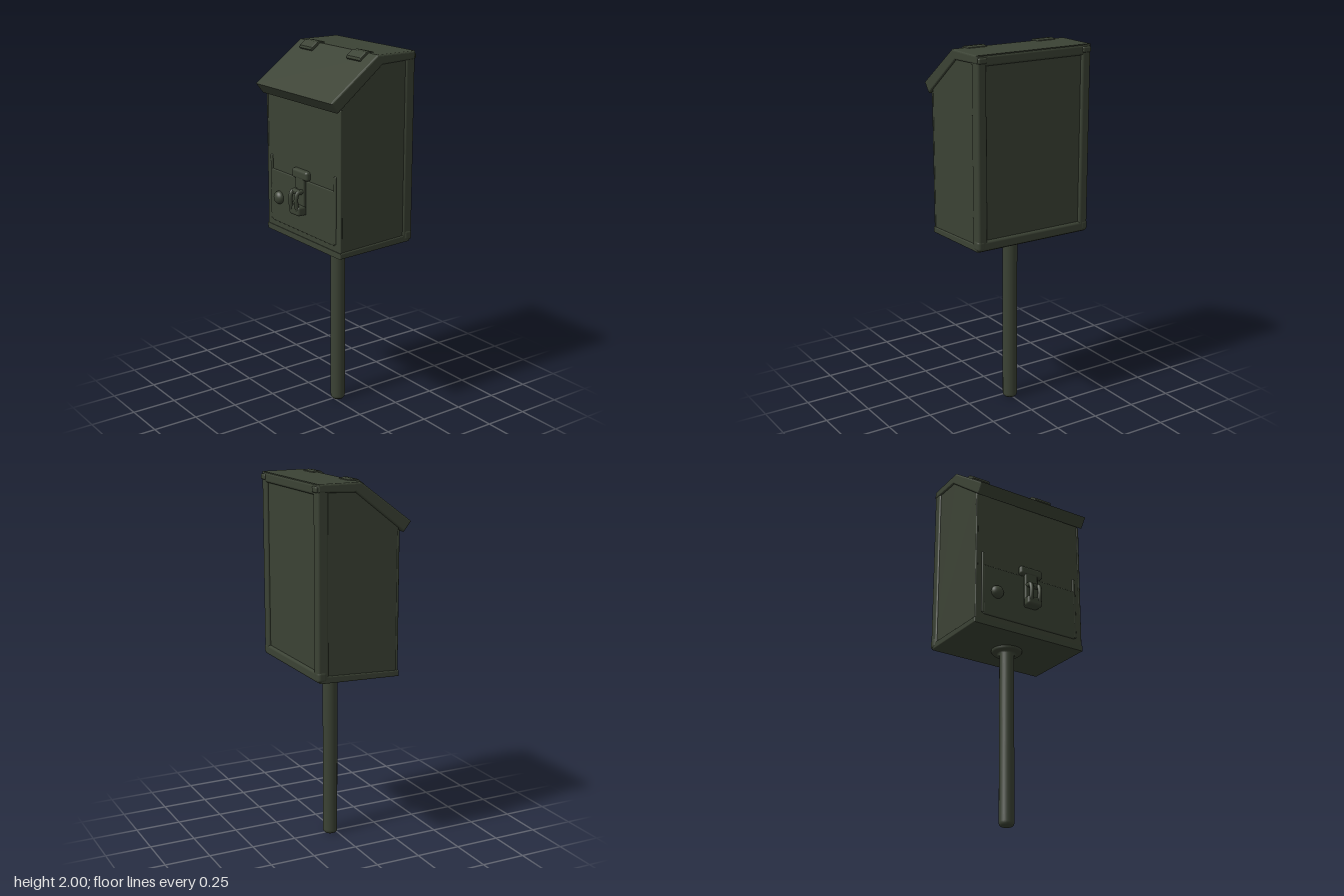
import * as THREE from 'three';
import { RoundedBoxGeometry } from 'three/addons/geometries/RoundedBoxGeometry.js';

export function createModel() {
  const model = new THREE.Group();
  const green = new THREE.MeshStandardMaterial({ color: 0x3b4234 });
  green.name = 'dark olive green';

  function add(name, geometry, x = 0, y = 0, z = 0, parent = model) {
    const mesh = new THREE.Mesh(geometry, green);
    mesh.name = name;
    mesh.position.set(x, y, z);
    parent.add(mesh);
    return mesh;
  }
  const box = (w, h, d, r = 0.01) => new RoundedBoxGeometry(w, h, d, 3, r);

  // Extrudes a side profile of [z, y] points across the given width in x
  function sideProfile(points, width, bevel) {
    const shape = new THREE.Shape(points.map(([z, y]) => new THREE.Vector2(z, y)));
    const depth = width - 2 * bevel;
    const geometry = new THREE.ExtrudeGeometry(shape, {
      depth, bevelEnabled: true, bevelSize: bevel, bevelOffset: -bevel,
      bevelThickness: bevel, bevelSegments: 3,
    });
    geometry.translate(0, 0, -depth / 2);
    geometry.rotateY(-Math.PI / 2);
    return geometry;
  }

  // Post, with a flange under the box
  const post = [[0, 0], [0.032, 0], [0.039, 0.008], [0.04, 0.02], [0.04, 0.95], [0.055, 0.955],
    [0.078, 0.96], [0.084, 0.968], [0.084, 1.0], [0, 1.0]];
  add('post', new THREE.LatheGeometry(post.map(p => new THREE.Vector2(...p)), 32), 0, 0, -0.03);

  // Box body
  add('body', sideProfile([[-0.252, 0.988], [0.2, 0.97], [0.195, 1.77], [-0.04, 1.955],
    [-0.252, 1.955]], 0.67, 0.008));

  // Roof: flat rear top and sloping front lid
  add('roof', sideProfile([[-0.262, 1.992], [-0.025, 1.992], [0.262, 1.78], [0.22, 1.727],
    [-0.055, 1.942], [-0.262, 1.95]], 0.69, 0.009));

  // Rear frame around the recessed back panel
  const frame = new THREE.Group();
  frame.name = 'rearFrame';
  model.add(frame);
  for (const s of [-1, 1]) {
    add('framePost', box(0.055, 1.0, 0.062, 0.014), s * 0.3145, 1.488, -0.235, frame);
    add('bottomCorner', box(0.05, 0.06, 0.055, 0.018), s * 0.32, 1.018, -0.24, frame);
  }
  add('frameTop', box(0.68, 0.055, 0.062, 0.014), 0, 1.963, -0.235, frame);
  add('frameBottom', box(0.68, 0.055, 0.062, 0.014), 0, 1.014, -0.235, frame);

  // Base lip along the lower front and sides
  add('baseLip', sideProfile([[-0.25, 0.983], [0.203, 0.968], [0.203, 1.0], [-0.25, 1.022]],
    0.683, 0.006));

  // Lower front door plate and its narrow side rails
  add('doorPlate', box(0.58, 0.29, 0.016, 0.006), 0, 1.173, 0.197);
  for (const s of [-1, 1]) {
    add('doorRail', box(0.018, 0.36, 0.018, 0.006), s * 0.292, 1.215, 0.196);
    add('cornerRail', box(0.014, 0.76, 0.014, 0.005), s * 0.33, 1.36, 0.192);
  }

  // Round knob
  add('knob', new THREE.SphereGeometry(0.036, 24, 16), -0.21, 1.172, 0.21).scale.z = 0.75;

  // Latch: top cap, strap, hasp loop and lower catch
  const latch = new THREE.Group();
  latch.name = 'latch';
  model.add(latch);
  add('latchCap', box(0.14, 0.052, 0.04, 0.015), 0, 1.346, 0.204, latch);
  add('latchStrap', box(0.078, 0.22, 0.026, 0.008), 0, 1.242, 0.209, latch);
  const curve = new THREE.CatmullRomCurve3([[1.262, 0.214], [1.255, 0.248], [1.225, 0.259],
    [1.18, 0.255], [1.15, 0.245]].map(([y, z]) => new THREE.Vector3(0, y, z)));
  for (const s of [-1, 1]) {
    add('haspArm', new THREE.TubeGeometry(curve, 20, 0.012, 10), s * 0.026, 0, 0, latch);
  }
  add('haspBridge', box(0.074, 0.025, 0.03, 0.01), 0, 1.257, 0.236, latch);
  add('latchCatch', box(0.09, 0.052, 0.054, 0.014), 0, 1.158, 0.232, latch);

  // Roof hinges wrapped over the ridge
  for (const s of [-1, 1]) {
    const hinge = new THREE.Group();
    hinge.name = 'hinge';
    hinge.position.x = s * 0.21;
    model.add(hinge);
    add('hingeLeaf', sideProfile([[-0.06, 1.985], [-0.055, 1.996], [-0.03, 2.0], [-0.005, 1.998],
      [0.03, 1.973], [0.033, 1.96], [0.02, 1.945], [-0.05, 1.975]], 0.112, 0.004),
    0, 0, 0, hinge);
  }

  // Small raised bumps at the rear top corners
  for (const s of [-1, 1]) {
    add('cornerBump', box(0.05, 0.03, 0.02, 0.008), s * 0.313, 1.965, -0.264);
  }
  return model;
}
